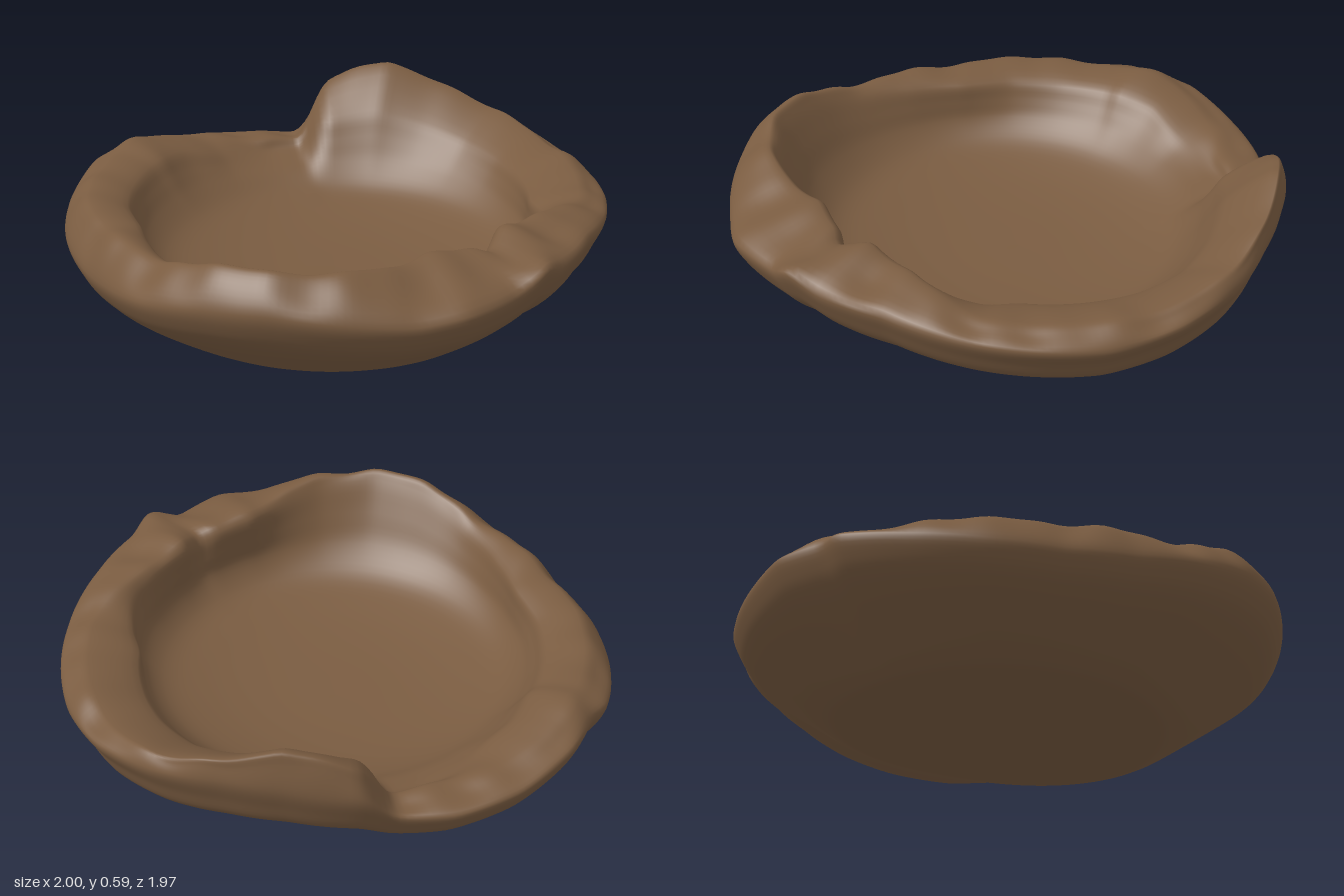
import * as THREE from 'three';

// Rim stations: [degrees from +x towards +z, outer radius, outer height, crest radius, crest height]
const RIM = [
  [0, .975, .43, .73, .50], [6, 1.0, .47, .76, .47], [9, 1.01, .45, .78, .45], [13, .985, .40, .75, .48],
  [26, 1.04, .40, .74, .50], [35, 1.025, .38, .80, .49], [48, 1.02, .40, .88, .52], [62, 1.015, .42, .92, .535],
  [75, 1.0, .40, .90, .52], [90, .98, .35, .86, .455], [105, .945, .31, .84, .44], [120, .94, .29, .84, .43],
  [135, .965, .30, .87, .42], [150, .98, .33, .88, .415], [165, 1.0, .37, .89, .42], [169, .975, .37, .88, .43],
  [180, 1.0, .37, .90, .41], [194, .985, .32, .86, .35], [208, .955, .30, .80, .32], [220, .90, .30, .80, .32],
  [227, .95, .42, .90, .52], [243, .945, .45, .92, .60], [256, .955, .44, .94, .53], [270, .985, .41, .95, .46],
  [285, 1.0, .38, .93, .43], [300, .995, .36, .90, .42], [325, .965, .39, .86, .43], [345, .95, .43, .76, .48],
];

const { lerp: mix, smoothstep, degToRad } = THREE.MathUtils;

// Linear blend around the rim
function rimAt(deg) {
  const d = ((deg % 360) + 360) % 360;
  let k = RIM.length - 1;
  while (RIM[k][0] > d) k--;
  const a = RIM[k], b = RIM[(k + 1) % RIM.length];
  const span = ((b[0] - a[0]) + 360) % 360;
  const t = (d - a[0]) / span;
  return [1, 2, 3, 4].map((c) => mix(a[c], b[c], t));
}

// Rim values softened over neighbouring angles
function softRim(deg) {
  const s = [-1.5, 0, 1.5].map((o) => rimAt(deg + o));
  return s[0].map((v, c) => (v + 2 * s[1][c] + s[2][c]) / 4);
}

// Cross-section from under the base, up the outside, over the lip, down to the floor
function section(deg) {
  const a = degToRad(deg);
  const [R, yO, rc, yc] = softRim(deg);
  const back = Math.pow(Math.max(0, Math.cos(a - degToRad(285))), 1.5);
  const base = 0.62 - 0.2 * back - 0.025 * Math.cos(a);
  const floor = 0.67 + 0.05 * Math.cos(a) + 0.04 * Math.sin(a);
  const floorY = 0.235;
  const ripple = 0.008 * (Math.sin(11 * a) + Math.sin(17 * a + 1) * 0.7 + Math.sin(29 * a + 2) * 0.5);
  // The lip is broad and flat along one side, and a sloping shelf along the back
  const broad = smoothstep(deg, 80, 130) * (1 - smoothstep(deg, 185, 212));
  const shelf = smoothstep(deg, 219, 229) * (1 - smoothstep(deg, 315, 342));
  const lip = rc - 0.03 - 0.1 * broad - 0.14 * shelf;
  const lipY = yc - 0.03 - shelf * (0.02 + 0.5 * Math.max(0, yc - 0.42));
  const out = (f) => mix(base, R, f);
  const p = [
    [0, 0.004], [base * 0.6, 0.004], [base * 0.88, 0.006], [base, 0.02],
    [out(0.46), yO * 0.35],
    [out(0.82 + 0.04 * back), yO * mix(0.64, 0.57, back)],
    [out(0.94), yO * 0.8],
    [R, yO],
    [mix(R, rc, 0.5), mix(yO, yc, 0.7) + ripple],
    [rc, yc + ripple * 0.6],
    [lip, lipY],
    [mix(lip, floor, 0.4), mix(lipY, floorY, 0.4)],
    [mix(lip, floor, 0.8), mix(lipY, floorY, 0.8)],
    [floor * 0.91, 0.2],
    [floor * 0.7, 0.158], [floor * 0.4, 0.132], [0, 0.125],
  ].map(([r, y]) => new THREE.Vector3(r, y, 0));
  return new THREE.CatmullRomCurve3(p, false, 'centripetal');
}

function bowlGeometry(around, along) {
  const pos = [], index = [];
  for (let i = 0; i < around; i++) {
    const deg = (i / around) * 360, a = degToRad(deg);
    for (const p of section(deg).getPoints(along)) {
      pos.push(p.x * Math.cos(a), Math.max(0, p.y), p.x * Math.sin(a));
    }
  }
  const row = along + 1;
  for (let i = 0; i < around; i++) {
    const n = ((i + 1) % around) * row, m = i * row;
    for (let j = 0; j < along; j++) {
      if (j < along - 1) index.push(m + j, m + j + 1, n + j + 1);
      if (j > 0) index.push(m + j, n + j + 1, n + j);
    }
  }
  const g = new THREE.BufferGeometry();
  g.setAttribute('position', new THREE.Float32BufferAttribute(pos, 3));
  g.setIndex(index);
  g.computeVertexNormals();
  return g;
}

export function createModel() {
  const group = new THREE.Group();
  group.name = 'clayBowl';
  const clay = new THREE.MeshStandardMaterial({ color: 0x7a5c41 });
  clay.name = 'brownClay';

  // Hand-formed bowl with an uneven, torn rim
  const bowl = new THREE.Mesh(bowlGeometry(240, 80), clay);
  bowl.name = 'bowl';
  group.add(bowl);
  return group;
}
